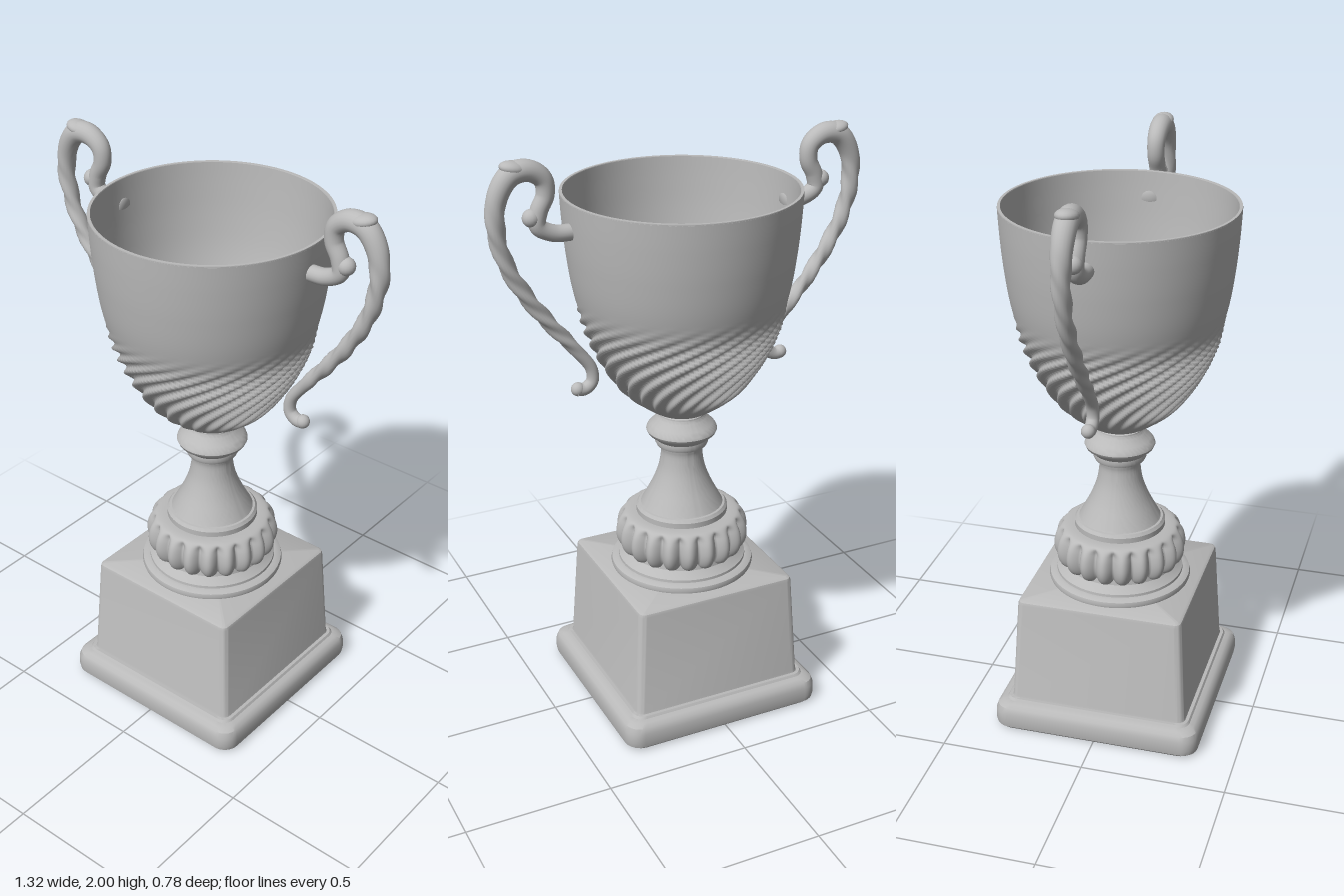
import * as THREE from 'three';
import { mergeVertices, toCreasedNormals } from 'three/addons/utils/BufferGeometryUtils.js';

const silver = new THREE.MeshStandardMaterial({ color: 0xbababa });
silver.name = 'silver grey';

const part = (name, geometry) => {
  const mesh = new THREE.Mesh(geometry, silver);
  mesh.name = name;
  return mesh;
};

const vectors = (list) => list.map(([x, y]) => new THREE.Vector2(x, y));
const smooth = (list, n) => new THREE.SplineCurve(vectors(list)).getPoints(n);

// Lathe whose radius is changed by a rule of angle and height, with seamless normals
function carvedLathe(points, segments, rule) {
  let geo = new THREE.LatheGeometry(points, segments);
  const p = geo.attributes.position;
  for (let i = 0; i < p.count; i++) {
    const x = p.getX(i), y = p.getY(i), z = p.getZ(i);
    const r = Math.hypot(x, z);
    if (r < 1e-6) continue;
    const k = (r + rule(Math.atan2(x, z), y)) / r;
    p.setXYZ(i, x * k, y, z * k);
  }
  geo.deleteAttribute('uv');
  geo.deleteAttribute('normal');
  geo = mergeVertices(geo, 1e-5);
  geo.computeVertexNormals();
  return geo;
}

// Closed loft from ring functions; each ring is an array of Vector3, counter-clockwise along the sweep
function loft(rings) {
  const n = rings[0].length, pos = [], idx = [];
  rings.forEach((ring) => ring.forEach((v) => pos.push(v.x, v.y, v.z)));
  for (let i = 0; i < rings.length - 1; i++) {
    for (let j = 0; j < n; j++) {
      const a = i * n + j, b = i * n + (j + 1) % n;
      idx.push(a, b, b + n, a, b + n, a + n);
    }
  }
  // End caps
  [rings[0], rings[rings.length - 1]].forEach((ring, end) => {
    const c = ring.reduce((s, v) => s.add(v), new THREE.Vector3()).divideScalar(n);
    const centre = pos.length / 3, start = end ? (rings.length - 1) * n : 0;
    pos.push(c.x, c.y, c.z);
    for (let j = 0; j < n; j++) {
      const a = start + j, b = start + (j + 1) % n;
      if (end) idx.push(centre, a, b);
      else idx.push(centre, b, a);
    }
  });
  const geo = new THREE.BufferGeometry();
  geo.setAttribute('position', new THREE.Float32BufferAttribute(pos, 3));
  geo.setIndex(idx);
  geo.computeVertexNormals();
  return geo;
}

// Horizontal square ring with rounded corners
function squareRing([half, y, radius]) {
  const ring = [];
  for (let c = 0; c < 4; c++) {
    const mid = Math.PI / 4 + c * Math.PI / 2;
    const cx = Math.sign(Math.sin(mid)) * (half - radius);
    const cz = Math.sign(Math.cos(mid)) * (half - radius);
    for (let k = 0; k <= 8; k++) {
      const a = (c + k / 8) * Math.PI / 2;
      ring.push(new THREE.Vector3(cx + radius * Math.sin(a), y, cz + radius * Math.cos(a)));
    }
  }
  return ring;
}
const squareBlock = (sections) => toCreasedNormals(loft(sections.map(squareRing)), 0.6);

// Handle: planar scroll with varying thickness and a rope twist along the middle
function handleGeometry() {
  const path = new THREE.CatmullRomCurve3([
    [0.37, 1.75], [0.44, 1.755], [0.49, 1.785], [0.485, 1.83], [0.462, 1.88], [0.468, 1.93],
    [0.515, 1.962], [0.57, 1.955], [0.612, 1.9], [0.627, 1.81], [0.6, 1.68], [0.53, 1.55],
    [0.44, 1.43], [0.37, 1.345], [0.326, 1.28], [0.324, 1.235], [0.35, 1.213], [0.38, 1.215],
  ].map(([x, y]) => new THREE.Vector3(x, y, 0)));
  const thickness = new THREE.SplineCurve(vectors([
    [0, 0.027], [0.1, 0.028], [0.2, 0.03], [0.3, 0.036], [0.4, 0.031], [0.5, 0.026],
    [0.6, 0.025], [0.7, 0.024], [0.8, 0.022], [0.9, 0.02], [1, 0.022],
  ]));
  const rings = [], steps = 160, sides = 20;
  for (let i = 0; i <= steps; i++) {
    const t = i / steps;
    const c = path.getPointAt(t), d = path.getTangentAt(t);
    const rope = 0.0035 * THREE.MathUtils.smoothstep(t, 0.36, 0.46) * (1 - THREE.MathUtils.smoothstep(t, 0.78, 0.88));
    const r = thickness.getPoint(t).y;
    rings.push(Array.from({ length: sides }, (_, j) => {
      const a = j / sides * Math.PI * 2;
      const q = r + rope * Math.cos(3 * a + t * 75);
      return new THREE.Vector3(c.x - d.y * q * Math.cos(a), c.y + d.x * q * Math.cos(a), q * Math.sin(a));
    }));
  }
  return loft(rings);
}

function makeHandle(name) {
  const group = new THREE.Group();
  group.name = name;
  group.add(part('handleScroll', handleGeometry()));
  // Leaf tip on top, small curl by the bowl and ball at the foot
  const tip = part('handleTip', new THREE.SphereGeometry(1, 20, 14));
  tip.scale.set(0.045, 0.022, 0.036);
  tip.position.set(0.56, 1.975, 0);
  tip.rotation.z = 0.2;
  const curl = part('handleCurl', new THREE.SphereGeometry(0.029, 18, 12));
  curl.position.set(0.51, 1.812, 0);
  const ball = part('handleFoot', new THREE.SphereGeometry(0.023, 18, 12));
  ball.position.set(0.375, 1.216, 0);
  group.add(tip, curl, ball);
  return group;
}

export function createModel() {
  const model = new THREE.Group();
  model.name = 'trophyCup';

  // Square plinth
  model.add(part('plinthFoot', squareBlock([
    [0.352, 0, 0.05], [0.364, 0.012, 0.055], [0.367, 0.03, 0.055], [0.366, 0.065, 0.055],
    [0.359, 0.085, 0.05], [0.346, 0.096, 0.05], [0.33, 0.1, 0.04], [0.325, 0.108, 0.04],
  ])));
  model.add(part('plinthBlock', squareBlock([
    [0.316, 0.1, 0.03], [0.311, 0.115, 0.028], [0.29, 0.475, 0.024], [0.287, 0.485, 0.022], [0.278, 0.491, 0.016],
  ])));

  // Ring under the fluted dome
  model.add(part('baseRing', toCreasedNormals(new THREE.LatheGeometry(vectors([
    [0, 0.488], [0.246, 0.488], [0.249, 0.498], [0.246, 0.51], [0.232, 0.517], [0.222, 0.518],
    [0.221, 0.527], [0.21, 0.535], [0.195, 0.55], [0.19, 0.58],
  ]), 96), 0.6)));

  // Fluted dome of rounded lobes
  const lobes = 20;
  model.add(part('flutedDome', carvedLathe(smooth([
    [0.17, 0.545], [0.205, 0.555], [0.224, 0.58], [0.231, 0.615], [0.224, 0.655],
    [0.205, 0.683], [0.18, 0.692], [0.14, 0.693],
  ], 32), 240, (a, y) => {
    const fade = 1 - THREE.MathUtils.smoothstep(y, 0.66, 0.692);
    return -0.028 * fade * (1 - Math.abs(Math.cos(a * lobes / 2)));
  })));

  // Stem flaring down to the dome, then the knob
  const stem = [
    ...vectors([[0.15, 0.685], [0.158, 0.692], [0.158, 0.712], [0.15, 0.722]]),
    ...smooth([[0.142, 0.723], [0.125, 0.755], [0.1, 0.805], [0.08, 0.86], [0.071, 0.915], [0.074, 0.94]], 20),
    ...vectors([[0.086, 0.946], [0.091, 0.957], [0.09, 0.97], [0.1, 0.98], [0.116, 0.992], [0.121, 1.003], [0.118, 1.012]]),
    ...smooth([[0.112, 1.02], [0.092, 1.04], [0.08, 1.055], [0.078, 1.063]], 8),
    ...vectors([[0.07, 1.068], [0.04, 1.072]]),
  ];
  model.add(part('stem', toCreasedNormals(new THREE.LatheGeometry(stem, 96), 0.6)));

  // Bowl outside, with spiral ridges that flatten and fade upward
  const profile = [
    [0.03, 1.062], [0.08, 1.07], [0.122, 1.095], [0.18, 1.143], [0.226, 1.2], [0.283, 1.295],
    [0.325, 1.4], [0.357, 1.52], [0.375, 1.64], [0.385, 1.75], [0.39, 1.843],
  ];
  const ridges = 24;
  model.add(part('bowlOutside', carvedLathe(smooth(profile, 110), 264, (a, y) => {
    const t = Math.max(0, (y - 1.06) / 0.42);
    const twist = 0.5 * t + 1.25 * t * t;
    const fade = THREE.MathUtils.smoothstep(y, 1.065, 1.2) * (1 - THREE.MathUtils.smoothstep(y, 1.38, 1.5));
    return 0.012 * fade * Math.cos(ridges * (a - twist));
  })));

  // Rim and smooth inside
  const inside = profile.slice(1).reverse().map(([r, y]) => [r - 0.012, y < 1.8 ? y + 0.016 : y]);
  model.add(part('bowlRim', toCreasedNormals(new THREE.LatheGeometry(vectors([
    [0.39, 1.84], [0.389, 1.845], [0.38, 1.845], [0.378, 1.84],
  ]), 128), 0.5)));
  model.add(part('bowlInside', new THREE.LatheGeometry(smooth([...inside, [0, 1.083]], 50), 128)));

  // Pair of scroll handles
  const left = makeHandle('leftHandle');
  const right = makeHandle('rightHandle');
  right.rotation.y = Math.PI;
  model.add(left, right);
  return model;
}
